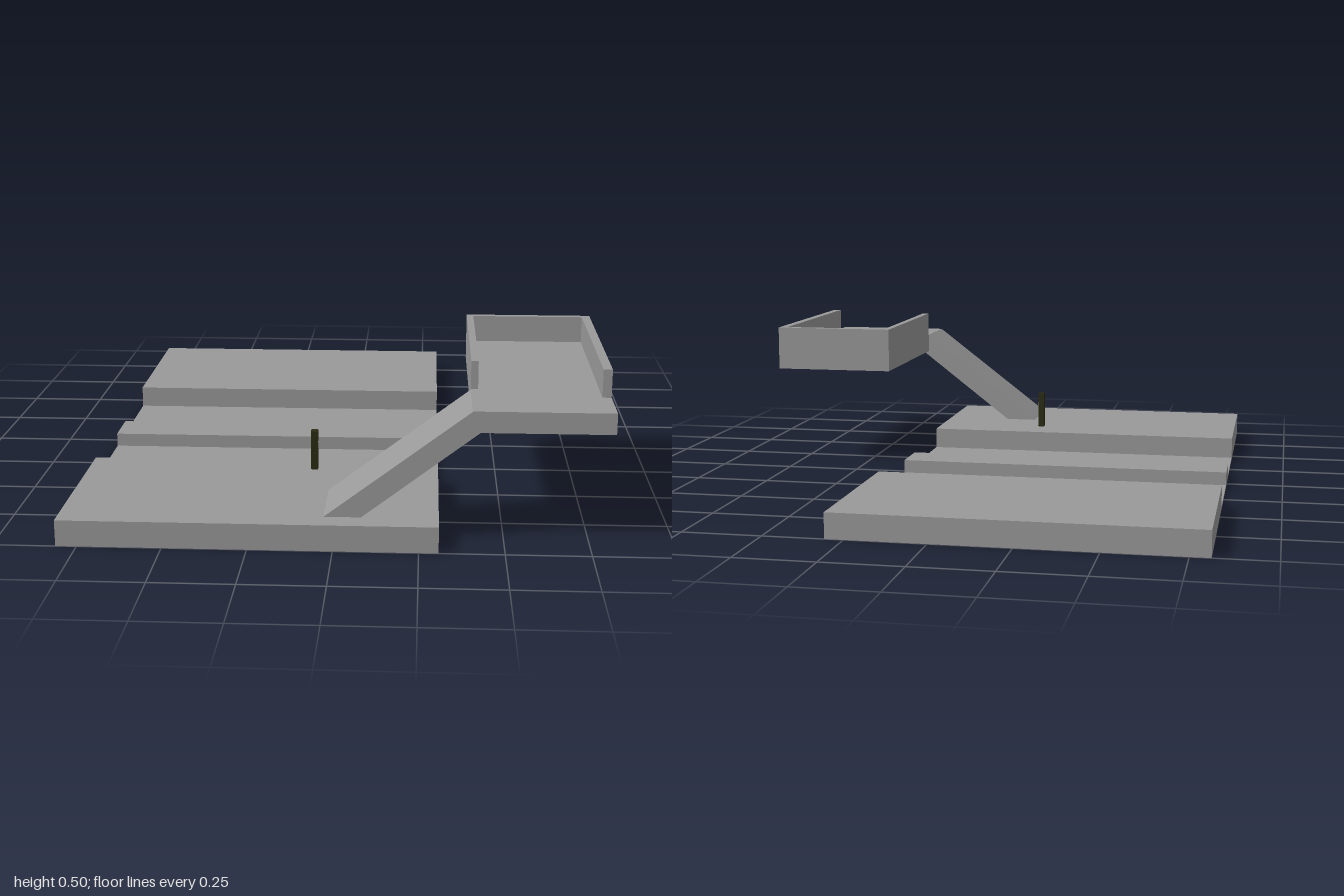
import * as THREE from 'three';

export function createModel() {
  const model = new THREE.Group();
  const concrete = new THREE.MeshStandardMaterial({ color: 0x999999 });
  concrete.name = 'concrete grey';
  const olive = new THREE.MeshStandardMaterial({ color: 0x2b2b14 });
  olive.name = 'dark olive';
  const pale = new THREE.MeshStandardMaterial({ color: 0x8c8c80 });
  pale.name = 'pale grey';

  // Box given by its lower and upper limits on each axis
  function box(name, x0, x1, y0, y1, z0, z1, material = concrete, parent = model) {
    const mesh = new THREE.Mesh(new THREE.BoxGeometry(x1 - x0, y1 - y0, z1 - z0), material);
    mesh.position.set((x0 + x1) / 2, (y0 + y1) / 2, (z0 + z1) / 2);
    mesh.name = name;
    parent.add(mesh);
    return mesh;
  }

  // Ground: one stepped section (z, y) swept across x
  const section = [
    [-1, 0], [1, 0], [1, 0.08], [0.43, 0.08], [0.43, 0.008], [0.087, 0.008], [0.087, 0.052],
    [-0.06, 0.052], [-0.06, 0.008], [-0.4, 0.008], [-0.4, 0.08], [-1, 0.08],
  ];
  const groundShape = new THREE.Shape(section.map(([z, y]) => new THREE.Vector2(-z, y)));
  const ground = new THREE.Mesh(
    new THREE.ExtrudeGeometry(groundShape, { depth: 1.12, bevelEnabled: false }), concrete);
  ground.rotation.y = Math.PI / 2;
  ground.position.x = -0.812;
  ground.name = 'steppedGround';
  model.add(ground);

  // Sloping ramp up to the raised deck
  const rampShape = new THREE.Shape([
    [-0.03, 0.08], [0.08, 0.08], [0.425, 0.346], [0.425, 0.408], [0.4, 0.408],
  ].map(([x, y]) => new THREE.Vector2(x, y)));
  const ramp = new THREE.Mesh(
    new THREE.ExtrudeGeometry(rampShape, { depth: 0.23, bevelEnabled: false }), concrete);
  ramp.position.z = 0.7;
  ramp.name = 'ramp';
  model.add(ramp);

  // Raised deck with a low wall on three sides
  box('deck', 0.4, 0.812, 0.345, 0.409, 0.085, 0.93);
  box('deckWallRight', 0.4, 0.422, 0.409, 0.495, 0.085, 0.695);
  box('deckWallLeft', 0.785, 0.812, 0.409, 0.495, 0.085, 0.77);
  box('deckWallBack', 0.422, 0.785, 0.409, 0.495, 0.085, 0.107);

  // Small standing post with a pale plate on its left side
  const post = new THREE.Group();
  post.name = 'post';
  model.add(post);
  box('postBody', -0.096, -0.074, 0.088, 0.215, 0.511, 0.533, olive, post);
  box('postPlate', -0.074, -0.072, 0.16, 0.178, 0.515, 0.529, pale, post);

  return model;
}
